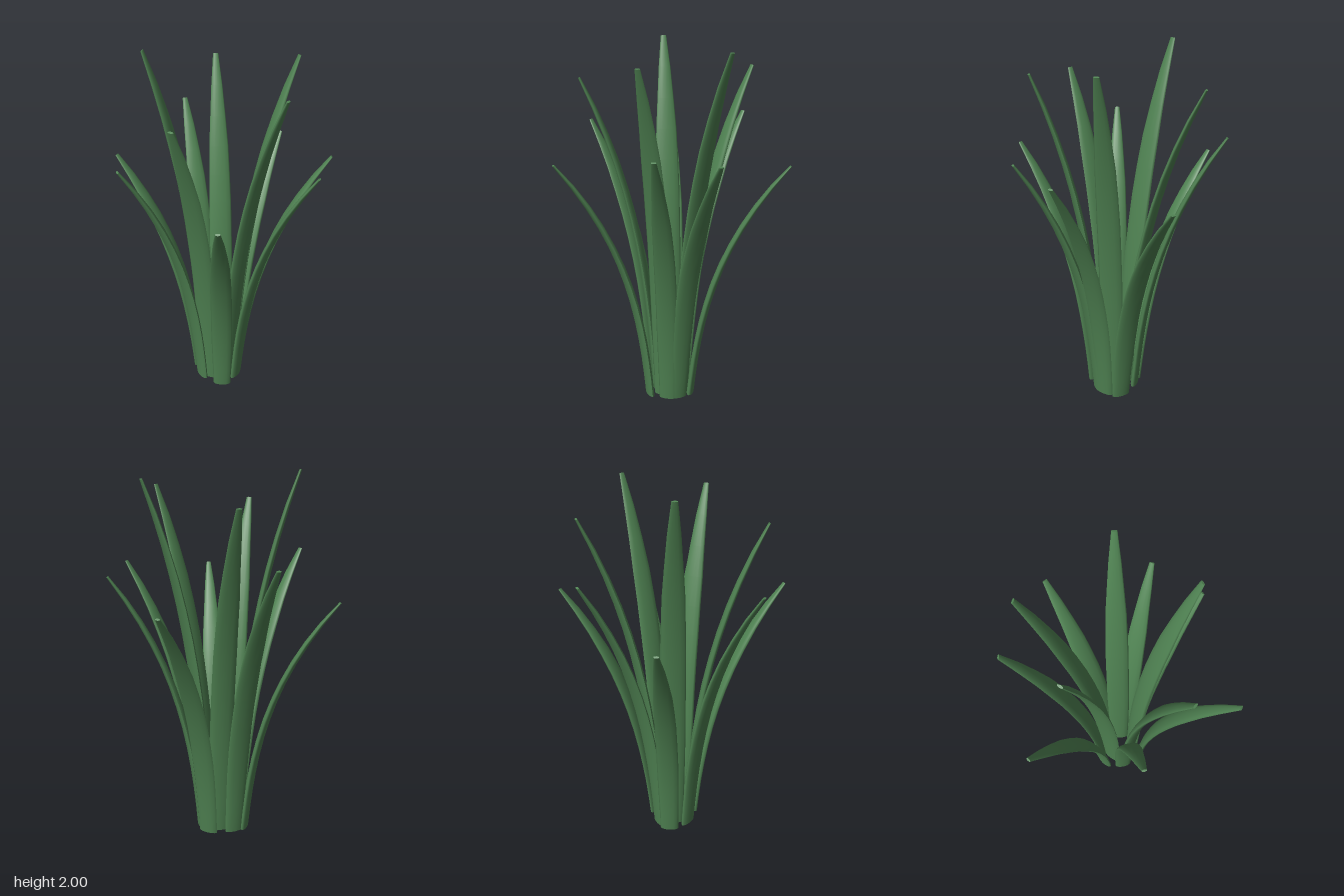
import * as THREE from 'three';

// Each blade: base x, base z, tip x, tip height, tip z, greatest width
const INNER_BLADES = [
  [0.01, -0.13, -0.02, 1.855, -0.53, 0.13],
  [0.07, -0.085, 0.395, 1.96, -0.19, 0.13],
  [0.045, 0.01, 0.3, 1.895, 0.25, 0.13],
  [-0.07, 0.01, -0.23, 1.805, 0.375, 0.13],
  [-0.085, -0.08, -0.385, 1.995, -0.165, 0.14],
];
const OUTER_BLADES = [
  [-0.07, -0.155, -0.195, 1.58, -0.58, 0.125],
  [0.075, -0.145, 0.355, 1.375, -0.57, 0.125],
  [0.105, -0.055, 0.575, 1.465, -0.055, 0.12],
  [0.09, 0, 0.472, 1.49, 0.24, 0.12],
  [0.005, 0.08, -0.025, 1.4, 0.585, 0.12],
  [-0.115, 0, -0.5, 1.535, 0.235, 0.12],
  [-0.135, -0.12, -0.573, 1.355, -0.32, 0.12],
];

// Width and thickness along the blade, as fractions of the greatest value
const WIDTH_STOPS = [[0, 0.86], [0.3, 1], [0.6, 0.95], [0.75, 0.82], [0.9, 0.52], [0.98, 0.3], [1, 0.22]];
const THICK_STOPS = [[0, 1], [0.5, 0.95], [0.8, 0.75], [0.98, 0.45], [1, 0.3]];

function sample(stops, t) {
  for (let i = 1; i < stops.length; i++) {
    const [t0, v0] = stops[i - 1];
    const [t1, v1] = stops[i];
    if (t <= t1) return THREE.MathUtils.lerp(v0, v1, (t - t0) / (t1 - t0));
  }
  return stops[stops.length - 1][1];
}

// A flattened tube that leans outward more and more toward its narrow tip
function bladeGeometry([bx, bz, tx, ty, tz, width]) {
  const thickness = 0.04;
  const rows = 12;
  const geometry = new THREE.CylinderGeometry(1, 1, 1, 12, rows, false, Math.PI / 2);
  const reach = Math.hypot(tx - bx, tz - bz);
  const facing = new THREE.Vector3((tx - bx) / reach, 0, (tz - bz) / reach);
  const up = new THREE.Vector3(0, 1, 0);
  const side = new THREE.Vector3().crossVectors(up, facing);
  const pos = geometry.attributes.position;
  const p = new THREE.Vector3();
  for (let i = 0; i < pos.count; i++) {
    const t = THREE.MathUtils.clamp(pos.getY(i) + 0.5, 0, 1);
    const out = 0.25 * t + 0.2 * t * t + 0.55 * t ** 3;
    const slope = 0.25 + 0.4 * t + 1.65 * t * t;
    // The bottom ring stays level; the others sit square to the bend
    const lean = t < 0.01 ? 0 : Math.atan2(reach * slope, ty);
    const w = pos.getX(i) * sample(WIDTH_STOPS, t) * width / 2;
    const h = pos.getZ(i) * sample(THICK_STOPS, t) * thickness / 2;
    p.set(bx, ty * t, bz)
      .addScaledVector(facing, reach * out + h * Math.cos(lean))
      .addScaledVector(up, -h * Math.sin(lean))
      .addScaledVector(side, w);
    pos.setXYZ(i, p.x, p.y, p.z);
  }
  geometry.computeVertexNormals();
  return geometry;
}

export function createModel() {
  const model = new THREE.Group();
  model.name = 'grassTuft';
  const leafGreen = new THREE.MeshStandardMaterial({ color: 0x4f8252 });
  leafGreen.name = 'leafGreen';

  // Two rings of blades: tall inside, shorter and more arched outside
  for (const [name, blades] of [['innerBlade', INNER_BLADES], ['outerBlade', OUTER_BLADES]]) {
    const ring = new THREE.Group();
    ring.name = name + 'Ring';
    blades.forEach((blade, i) => {
      const mesh = new THREE.Mesh(bladeGeometry(blade), leafGreen);
      mesh.name = name + (i + 1);
      ring.add(mesh);
    });
    model.add(ring);
  }
  return model;
}
